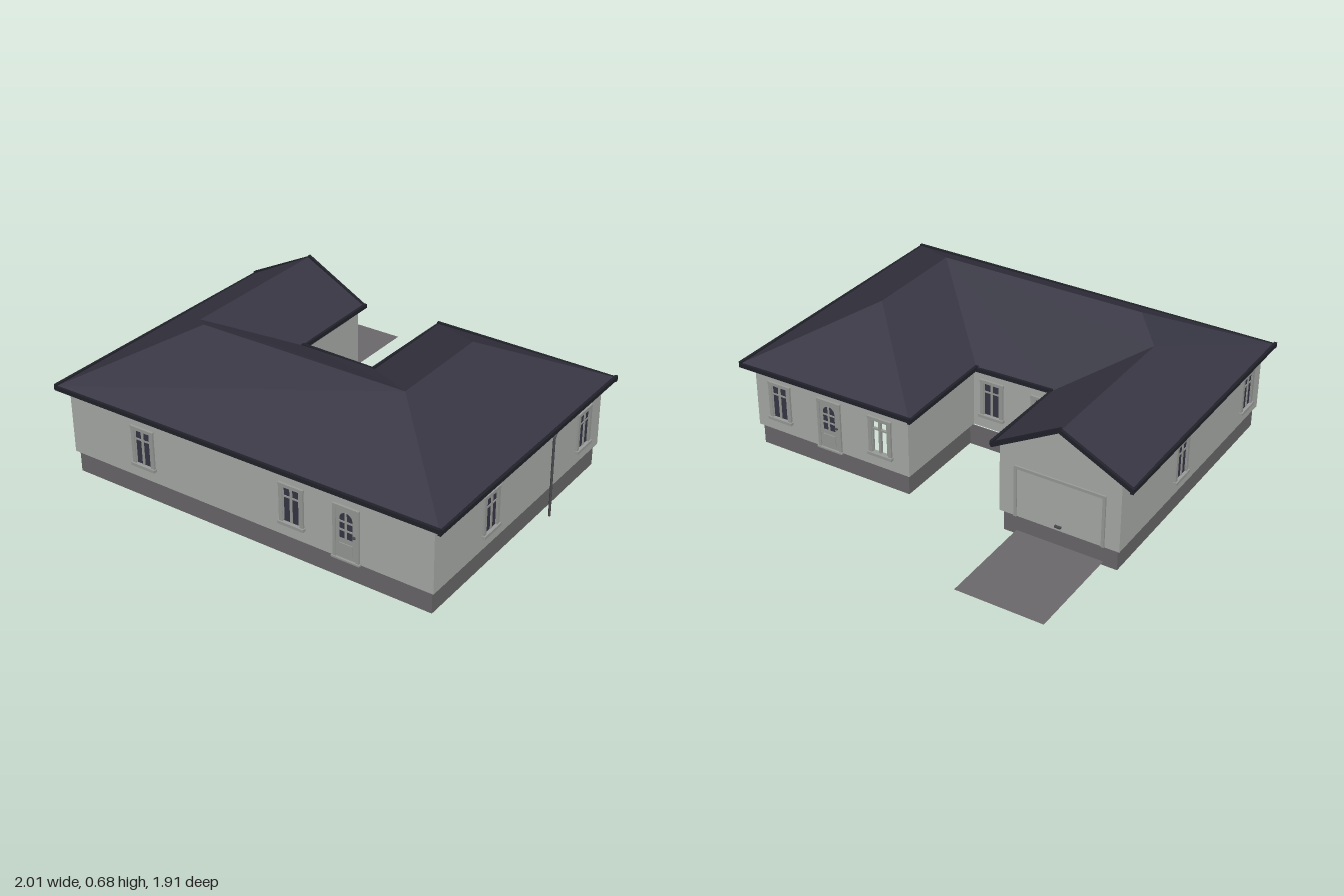
import * as THREE from 'three';

const mat = (name, color, side = THREE.FrontSide) => {
  const m = new THREE.MeshStandardMaterial({ color, side });
  m.name = name;
  return m;
};

export function createModel() {
  const house = new THREE.Group();
  house.name = 'house';
  const wallMat = mat('wall grey', 0xabaeab, THREE.DoubleSide);
  const baseMat = mat('plinth grey', 0x6b696b, THREE.DoubleSide);
  const roofMat = mat('roof slate', 0x363542, THREE.DoubleSide);
  const trimMat = mat('gutter dark', 0x22222b);
  const frameMat = mat('frame grey', 0x9a9d99);
  const glassMat = mat('glass dark', 0x383747, THREE.DoubleSide);
  const pipeMat = mat('pipe grey', 0x4a4a4e);

  const add = (parent, name, geo, material, x = 0, y = 0, z = 0) => {
    const m = new THREE.Mesh(geo, material);
    m.name = name;
    m.position.set(x, y, z);
    parent.add(m);
    return m;
  };
  const box = (parent, name, material, w, h, d, x, y, z) =>
    add(parent, name, new THREE.BoxGeometry(w, h, d), material, x, y, z);

  // Floor plan corners [x, z], walked so that every wall faces outwards
  const plan = [[-0.952, 0.91], [0.947, 0.91], [0.947, -0.472], [0.1, -0.472],
    [0.1, 0.06], [-0.37, 0.06], [-0.37, -0.472], [-0.952, -0.472]];
  const inset = [[-0.938, 0.897], [0.934, 0.897], [0.934, -0.457], [0.113, -0.457],
    [0.113, 0.047], [-0.383, 0.047], [-0.383, -0.457], [-0.938, -0.457]];
  const edge = (pts, i) => {
    const [ax, az] = pts[i], [bx, bz] = pts[(i + 1) % pts.length];
    return { ax, az, len: Math.hypot(bx - ax, bz - az), turn: Math.atan2(az - bz, bx - ax) };
  };
  // A group on wall i whose local x runs along the wall and z points outwards
  const onEdge = (pts, i, name, along = 0) => {
    const e = edge(pts, i), g = new THREE.Group();
    g.name = name;
    g.rotation.y = e.turn;
    g.position.set(e.ax + Math.cos(e.turn) * along, 0, e.az - Math.sin(e.turn) * along);
    house.add(g);
    return g;
  };
  const rect = (Type, x0, y0, x1, y1) => {
    const s = new Type();
    s.moveTo(x0, y0); s.lineTo(x1, y0); s.lineTo(x1, y1); s.lineTo(x0, y1); s.closePath();
    return s;
  };

  // Walls and plinth; the rear left wing carries a gable
  const BASE = 0.105, TOP = 0.437;
  const openWindow = 0.697; // unglazed opening on wall 2
  for (let i = 0; i < plan.length; i++) {
    const len = edge(plan, i).len;
    const shape = rect(THREE.Shape, 0, BASE, len, TOP);
    if (i === 2) shape.holes.push(rect(THREE.Path, openWindow - 0.045, 0.18, openWindow + 0.045, 0.35));
    add(onEdge(plan, i, 'wallSide'), 'wall', new THREE.ShapeGeometry(shape), wallMat);
    if (i === 6) {
      const gable = new THREE.Shape();
      gable.moveTo(0, TOP); gable.lineTo(len, TOP); gable.lineTo(len, 0.453);
      gable.lineTo(0.295, 0.605); gable.lineTo(0, 0.45); gable.closePath();
      add(onEdge(plan, i, 'gableSide'), 'gable', new THREE.ShapeGeometry(gable), wallMat);
    }
    add(onEdge(inset, i, 'plinthSide'), 'plinth',
      new THREE.ShapeGeometry(rect(THREE.Shape, 0, 0, edge(inset, i).len, 0.11)), baseMat);
  }

  // Roof planes: eaves e, ridge points by name
  const E = 0.438;
  const P = {
    a: [-1, E, 0.945], b: [0.99, E, 0.945], c: [0.99, E, -0.52], d: [0.06, E, -0.52],
    e: [0.06, E, 0.02], f: [-0.333, E, 0.02], g: [-0.333, E, -0.48], h: [-1, E, -0.48],
    r: [-0.53, 0.682, 0.48], s: [0.525, 0.682, 0.48], t: [0.525, 0.682, -0.05],
    u: [-0.666, 0.612, 0.345], v: [-0.666, 0.612, -0.48],
  };
  const roofPos = [];
  // Each string lists one plane's corners; the first one is the fan centre
  for (const face of ['absr', 'bcts', 'cdt', 'dest', 'sefur', 'ufgv', 'uvhar']) {
    // the west plane is fanned from its inner ridge corner
    for (let i = 1; i + 1 < face.length; i++)
      for (const k of [face[0], face[i], face[i + 1]]) roofPos.push(...P[k]);
  }
  const roofGeo = new THREE.BufferGeometry();
  roofGeo.setAttribute('position', new THREE.Float32BufferAttribute(roofPos, 3));
  roofGeo.computeVertexNormals();
  add(house, 'roof', roofGeo, roofMat);

  // Gutters along the eaves and verge boards up the gable
  const board = (name, p, q) => {
    const A = new THREE.Vector3(...p), B = new THREE.Vector3(...q);
    const m = box(house, name, trimMat, 0.014, 0.02, A.distanceTo(B) + 0.01, 0, 0, 0);
    m.position.copy(A).add(B).multiplyScalar(0.5);
    m.position.y -= 0.004;
    m.lookAt(B);
  };
  for (const k of ['ab', 'bc', 'cd', 'de', 'ef', 'fg', 'ha']) board('gutter', P[k[0]], P[k[1]]);
  board('vergeBoard', P.g, P.v);
  board('vergeBoard', P.v, P.h);

  // Casement window with two leaves, a transom and a sill
  const addWindow = (wall, along, glazed = true) => {
    const g = onEdge(plan, wall, 'window', along);
    for (const s of [-1, 1]) {
      box(g, 'windowJamb', frameMat, 0.018, 0.19, 0.02, s * 0.052, 0.265, 0);
      box(g, 'leafStile', frameMat, 0.006, 0.16, 0.012, s * 0.04, 0.265, 0);
    }
    box(g, 'windowHead', frameMat, 0.126, 0.016, 0.022, 0, 0.354, 0);
    box(g, 'windowSill', frameMat, 0.132, 0.014, 0.03, 0, 0.171, 0.002);
    box(g, 'mullion', frameMat, 0.012, 0.165, 0.014, 0, 0.265, 0);
    box(g, 'transom', frameMat, 0.086, 0.008, 0.012, 0, 0.302, 0);
    if (glazed) for (const s of [-1, 1])
      box(g, 'windowGlass', glassMat, 0.04, 0.165, 0.006, s * 0.022, 0.264, 0);
  };
  addWindow(0, -0.535 + 0.952);
  addWindow(0, 0.262 + 0.952);
  addWindow(1, 0.91 - 0.485);
  addWindow(1, 0.91 + 0.312);
  addWindow(2, 0.947 - 0.81);
  addWindow(2, openWindow, false);
  addWindow(4, 0.1 - 0.0);
  addWindow(4, 0.1 + 0.27);
  addWindow(7, 0.472 + 0.08);
  addWindow(7, 0.472 + 0.76);

  // Panelled door with an arched light
  const addDoor = (wall, along) => {
    const g = onEdge(plan, wall, 'door', along);
    for (const s of [-1, 1]) box(g, 'doorJamb', frameMat, 0.014, 0.255, 0.02, s * 0.057, 0.234, 0);
    box(g, 'doorHead', frameMat, 0.128, 0.014, 0.022, 0, 0.356, 0);
    box(g, 'doorLeaf', frameMat, 0.1, 0.245, 0.01, 0, 0.23, 0);
    const light = new THREE.Shape();
    light.moveTo(-0.032, 0.21); light.lineTo(0.032, 0.21); light.lineTo(0.032, 0.3);
    light.absarc(0, 0.3, 0.032, 0, Math.PI); light.closePath();
    add(g, 'doorGlass', new THREE.ShapeGeometry(light, 8), glassMat, 0, 0, 0.006);
    box(g, 'doorBar', frameMat, 0.009, 0.124, 0.004, 0, 0.271, 0.007);
    for (const y of [0.25, 0.29]) box(g, 'doorBar', frameMat, 0.066, 0.008, 0.004, 0, y, 0.007);
    box(g, 'doorPanel', frameMat, 0.066, 0.05, 0.006, 0, 0.16, 0.006);
    box(g, 'doorHandle', pipeMat, 0.014, 0.006, 0.012, 0.042, 0.232, 0.01);
    box(g, 'doorStep', frameMat, 0.14, 0.008, 0.03, 0, 0.108, 0);
  };
  addDoor(0, 0.535 + 0.952);
  addDoor(2, 0.947 - 0.53);

  // Garage door in the gable end
  const garage = onEdge(plan, 6, 'garageDoor', 0.293);
  for (const s of [-1, 1]) box(garage, 'garageJamb', frameMat, 0.014, 0.255, 0.016, s * 0.212, 0.234, 0);
  box(garage, 'garageHead', frameMat, 0.438, 0.014, 0.016, 0, 0.356, 0);
  box(garage, 'garagePanel', wallMat, 0.41, 0.245, 0.004, 0, 0.23, 0.001);
  box(garage, 'garageHandle', pipeMat, 0.03, 0.008, 0.014, 0, 0.13, 0.008);

  // Driveway
  const drive = add(house, 'driveway', new THREE.PlaneGeometry(0.424, 0.49), baseMat, -0.667, 0.03, -0.715);
  drive.rotation.x = -Math.PI / 2;

  // Downpipe on the left side wall
  const path = new THREE.CurvePath();
  const bend = [[0.98, 0, 0.025], [0.98, 0.395, 0.025], [0.985, 0.435, -0.012]]
    .map(p => new THREE.Vector3(...p));
  for (let i = 0; i < 2; i++) path.add(new THREE.LineCurve3(bend[i], bend[i + 1]));
  add(house, 'downpipe', new THREE.TubeGeometry(path, 20, 0.006, 8, false), pipeMat);

  return house;
}
